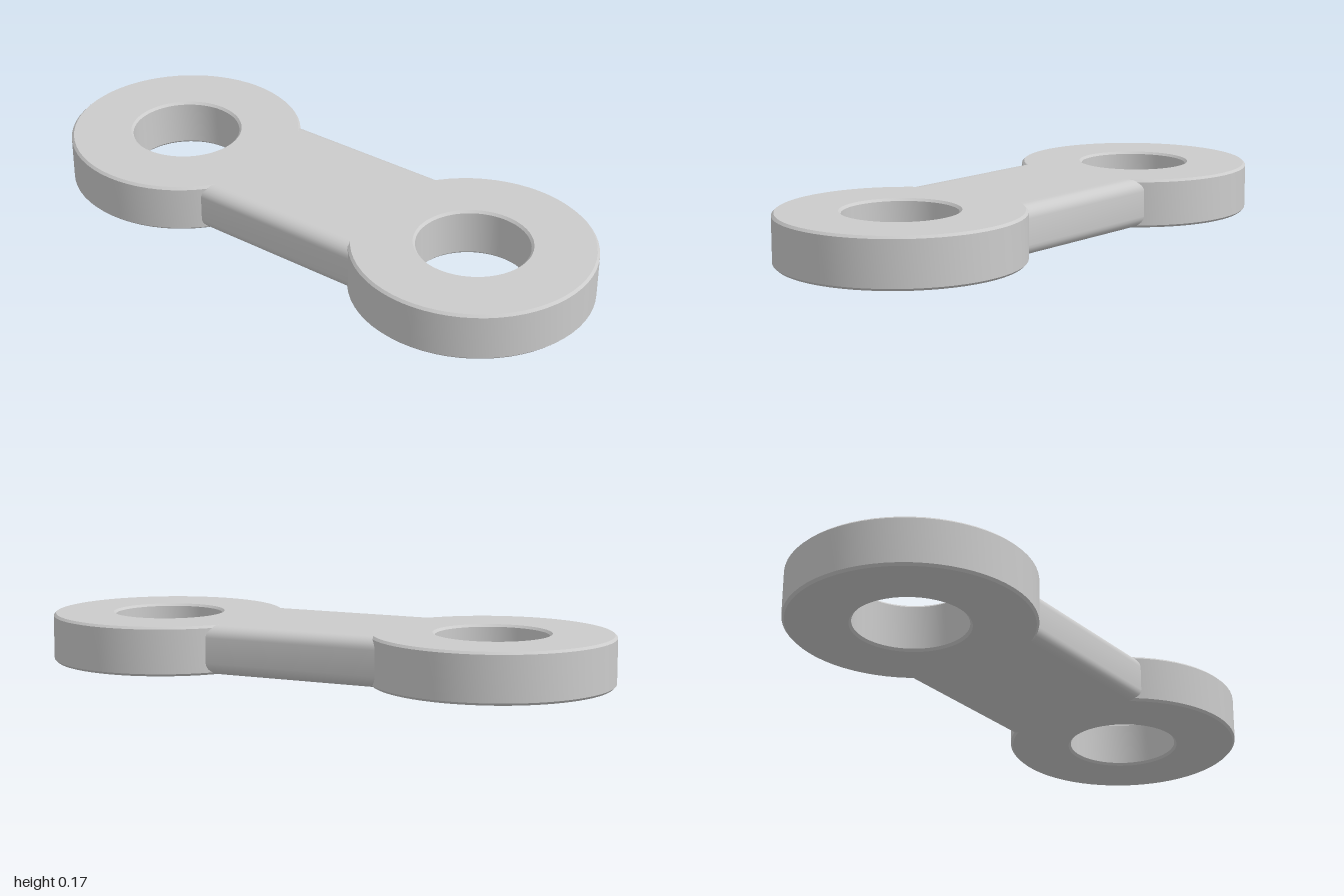
import * as THREE from 'three';
import { toCreasedNormals } from 'three/addons/utils/BufferGeometryUtils.js';

const H = 0.165;        // plate thickness
const EYE_X = 0.6;      // ring centre
const OUTER = 0.4, INNER = 0.185, BEVEL = 0.008;

// Ring with finely chamfered rims, turned around its own axis
function ringGeometry() {
  const profile = [
    [OUTER - BEVEL, 0], [OUTER, BEVEL], [OUTER, H - BEVEL], [OUTER - BEVEL, H],
    [INNER + BEVEL, H], [INNER, H - BEVEL], [INNER, BEVEL], [INNER + BEVEL, 0],
    [OUTER - BEVEL, 0],
  ].map(([r, y]) => new THREE.Vector2(r, y));
  return toCreasedNormals(new THREE.LatheGeometry(profile, 64), 0.5);
}

// Cross-section of the bar (z, y): flat top, bottom and sides, rounded corners
function barSection() {
  const half = 0.27, rz = 0.045, ry = 0.04, steps = 6, flat = 20;
  const pts = [];
  const corners = [[1, 1], [-1, 1], [-1, -1], [1, -1]];
  corners.forEach(([sz, sy], c) => {
    for (let i = 0; i <= steps; i++) {
      const a = (c + i / steps) * Math.PI / 2;
      pts.push([sz * (half - rz) + rz * Math.cos(a), H / 2 + sy * (H / 2 - ry) + ry * Math.sin(a)]);
    }
    // subdivide the top and bottom so their ends follow the round rings
    if (c % 2 === 0) {
      for (let i = 1; i < flat; i++) {
        pts.push([sz * (half - rz) * (1 - 2 * i / flat), sy > 0 ? H : 0]);
      }
    }
  });
  return pts;
}

// Bar swept along x, each end curved to meet the ring it joins
function barGeometry() {
  const section = barSection(), n = section.length;
  const position = [], index = [];
  const reach = OUTER - BEVEL - 0.001;
  for (const [z, y] of section) {
    const x = EYE_X - Math.sqrt(reach * reach - z * z);
    position.push(-x, y, z, x, y, z);
  }
  for (let i = 0; i < n; i++) {
    const a = 2 * i, b = 2 * ((i + 1) % n);
    index.push(a, a + 1, b + 1, a, b + 1, b);
  }
  const geometry = new THREE.BufferGeometry();
  geometry.setAttribute('position', new THREE.Float32BufferAttribute(position, 3));
  geometry.setIndex(index);
  return toCreasedNormals(geometry, 0.5);
}

export function createModel() {
  const group = new THREE.Group();
  group.name = 'linkPlate';
  const material = new THREE.MeshStandardMaterial({ color: 0xcccccc });

  // End rings, mirrored
  const ring = ringGeometry();
  for (const [name, side] of [['leftRing', 1], ['rightRing', -1]]) {
    const mesh = new THREE.Mesh(ring, material);
    mesh.name = name;
    mesh.position.x = side * EYE_X;
    group.add(mesh);
  }

  // Connecting bar
  const bar = new THREE.Mesh(barGeometry(), material);
  bar.name = 'connectingBar';
  group.add(bar);
  return group;
}
